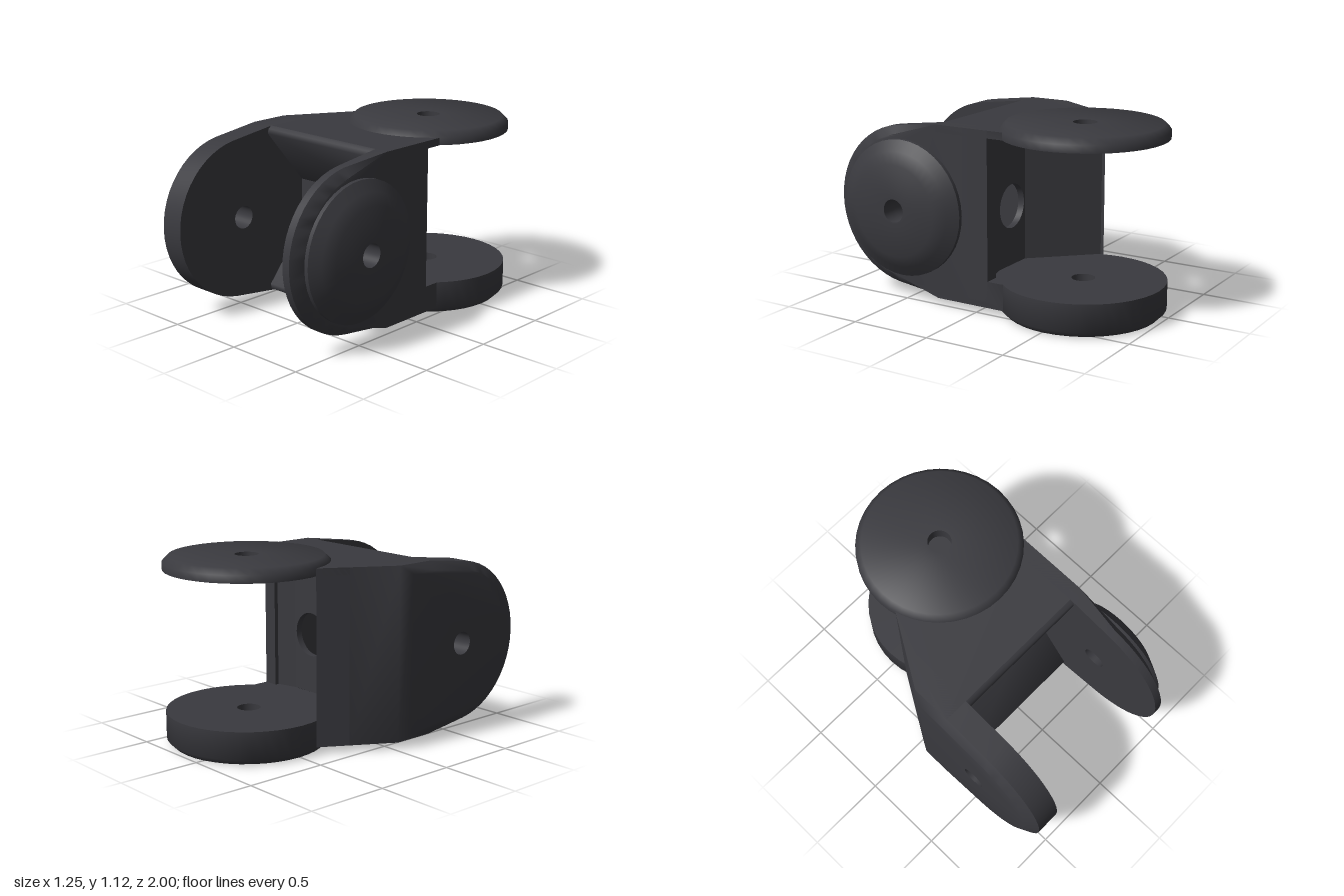
import * as THREE from 'three';
import { toCreasedNormals } from 'three/addons/utils/BufferGeometryUtils.js';

const material = new THREE.MeshStandardMaterial({ color: 0x3a3a3f, side: THREE.DoubleSide });
const MID_Y = 0.565, FRONT_Z = 0.51;   // front pivot axis (along x)
const REAR_X = 0.135, REAR_Z = -0.51;  // rear pivot axis (along y)
const R = 0.49, PIN = 0.07, WINDOW = 0.135;

function add(group, name, geometry) {
  const mesh = new THREE.Mesh(toCreasedNormals(geometry, 0.9), material);
  mesh.name = name;
  group.add(mesh);
  return mesh;
}

const lathe = (pts) => new THREE.LatheGeometry(pts.map((p) => new THREE.Vector2(...p)), 40);

function circleHole(x, y, r) {
  const hole = new THREE.Path();
  hole.absarc(x, y, r, 0, Math.PI * 2, true);
  return hole;
}

// Horizontal slab from an x/z outline
function slab(outline, y0, y1) {
  const shape = new THREE.Shape(outline.map(([x, z]) => new THREE.Vector2(x, -z)));
  const g = new THREE.ExtrudeGeometry(shape, { depth: y1 - y0, bevelEnabled: false });
  return g.rotateX(-Math.PI / 2).translate(0, y0, 0);
}

// Upright plate with a round front, chamfered on its outer face.
// side +1 faces +x, -1 faces -x; slant pulls the rear edge back on the inner side.
function sidePlate(side, xInner, thickness, zBack, slant, chamferAt) {
  const c = 0.04, pts = [[zBack, 0.04], [0.27, 0.04]];
  for (let i = 0; i <= 24; i++) {
    const a = -1.43 + (2.86 * i) / 24;
    pts.push([FRONT_Z + R * Math.cos(a), MID_Y + R * Math.sin(a)]);
  }
  pts.push([0.27, 1.09], [zBack, 1.09]);
  const shape = new THREE.Shape(pts.map(([z, y]) => new THREE.Vector2(-side * z, y)));
  shape.holes.push(circleHole(-side * FRONT_Z, MID_Y, PIN));
  const g = new THREE.ExtrudeGeometry(shape, { depth: thickness, steps: 2, bevelEnabled: false, curveSegments: 16 });
  const p = g.attributes.position;
  for (let i = 0; i < p.count; i++) {
    let z = -side * p.getX(i), y = p.getY(i), d = p.getZ(i);
    const outer = d > thickness * 0.75;
    if (!outer && d > thickness * 0.25) d = thickness - c;
    const dz = Math.max(z - FRONT_Z, 0), dy = y - MID_Y;
    const len = Math.hypot(dz, dy);
    if (z < zBack + 0.001) z -= slant * (thickness - d);
    if (outer && len + Math.abs(z - FRONT_Z) > 0.16 && z > chamferAt) {
      z -= (2 * c * dz) / len;
      y -= (c * 1.3 * dy) / len;
    }
    p.setXYZ(i, -side * z, y, d);
  }
  return g.rotateY((side * Math.PI) / 2).translate(xInner, 0, 0);
}

// Sweep a polyline of points along a straight vector
function ribbon(points, along) {
  const v = new THREE.Vector3(...along), out = [];
  for (let i = 0; i < points.length - 1; i++) {
    const a = new THREE.Vector3(...points[i]), b = new THREE.Vector3(...points[i + 1]);
    const a2 = a.clone().add(v), b2 = b.clone().add(v);
    for (const q of [a, b, b2, a, b2, a2]) out.push(q.x, q.y, q.z);
  }
  const g = new THREE.BufferGeometry();
  g.setAttribute('position', new THREE.Float32BufferAttribute(out, 3));
  return g;
}

// Flat upright panel with the round window
function windowPanel(x0, x1, y0, y1, z) {
  const shape = new THREE.Shape([[x0, y0], [x1, y0], [x1, y1], [x0, y1]].map((q) => new THREE.Vector2(...q)));
  shape.holes.push(circleHole(REAR_X, MID_Y, WINDOW));
  const g = new THREE.ShapeGeometry(shape, 20);
  g.deleteAttribute('uv');
  return g.translate(0, 0, z);
}

export function createModel() {
  const group = new THREE.Group();
  group.name = 'jointBracket';

  // Front fork
  add(group, 'rightForkPlate', sidePlate(-1, -0.44, 0.19, 0.09, 1.66, -1));
  add(group, 'leftForkPlate', sidePlate(1, 0.41, 0.09, -0.08, 0, 0.28));

  // Domed boss on the left plate
  const boss = add(group, 'pivotBoss', lathe([
    [PIN, 0], [0.415, 0], [0.415, 0.025], [0.35, 0.065], [0.28, 0.105], [PIN, 0.105], [PIN, 0],
  ]));
  boss.rotation.z = -Math.PI / 2;
  boss.position.set(0.5, MID_Y, FRONT_Z);

  // Rear fork discs
  const topDisc = add(group, 'topDisc', lathe([
    [PIN, 1.045], [R, 1.045], [R, 1.09], [0.455, 1.125], [PIN, 1.125], [PIN, 1.045],
  ]));
  const bottomDisc = add(group, 'bottomDisc', lathe([
    [PIN, 0], [0.455, 0], [R, 0.035], [R, 0.2], [PIN, 0.2], [PIN, 0],
  ]));
  for (const disc of [topDisc, bottomDisc]) disc.position.set(REAR_X, 0, REAR_Z);

  // Roof, floor and the thicker web under the rear fork
  const rear = [[0.5, -0.18], [0.4, -0.32], [-0.2, -0.4], [-0.34, -0.39]];
  const outline = [[-0.59, 0.27], [0.5, 0.27], ...rear, [-0.59, 0.024]];
  add(group, 'roof', slab(outline, 1.045, 1.09));
  add(group, 'floor', slab(outline, 0.04, 0.085));
  add(group, 'rearWeb', slab([[0.5, -0.02], ...rear, [-0.56, -0.026]], 0.04, 0.2));

  // Front hollow: lip and sloped walls, mirrored about the pivot height
  for (const s of [1, -1]) {
    const profile = [[0.525, 0.27], [0.51, 0.295], [0.48, 0.3], [0.145, 0.02]];
    add(group, s > 0 ? 'frontHollowTop' : 'frontHollowBottom',
      ribbon(profile.map(([y, z]) => [-0.44, MID_Y + s * y, z]), [0.85, 0, 0]));
  }
  add(group, 'frontHollowPanel', windowPanel(-0.44, 0.41, 0.42, 0.71, 0.02));

  // Rear hollow: sloped walls either side of the flat panel
  add(group, 'rearHollowLeft', ribbon([[0.5, 0.2, -0.08], [0.28, 0.2, -0.02]], [0, 0.845, 0]));
  add(group, 'rearHollowRight', ribbon([[-0.01, 0.2, -0.02], [-0.34, 0.2, -0.37]], [0, 0.845, 0]));
  add(group, 'rearHollowPanel', windowPanel(-0.01, 0.28, 0.2, 1.045, -0.02));

  // Slanted outer wall
  add(group, 'slantedWall', ribbon([[-0.34, 0.05, -0.37], [-0.34, 0.05, -0.39], [-0.59, 0.05, 0.024]], [0, 1.03, 0]));

  // Window rim
  const rim = add(group, 'windowRim', new THREE.CylinderGeometry(WINDOW, WINDOW, 0.04, 40, 1, true));
  rim.rotation.x = Math.PI / 2;
  rim.position.set(REAR_X, MID_Y, 0);

  return group;
}
